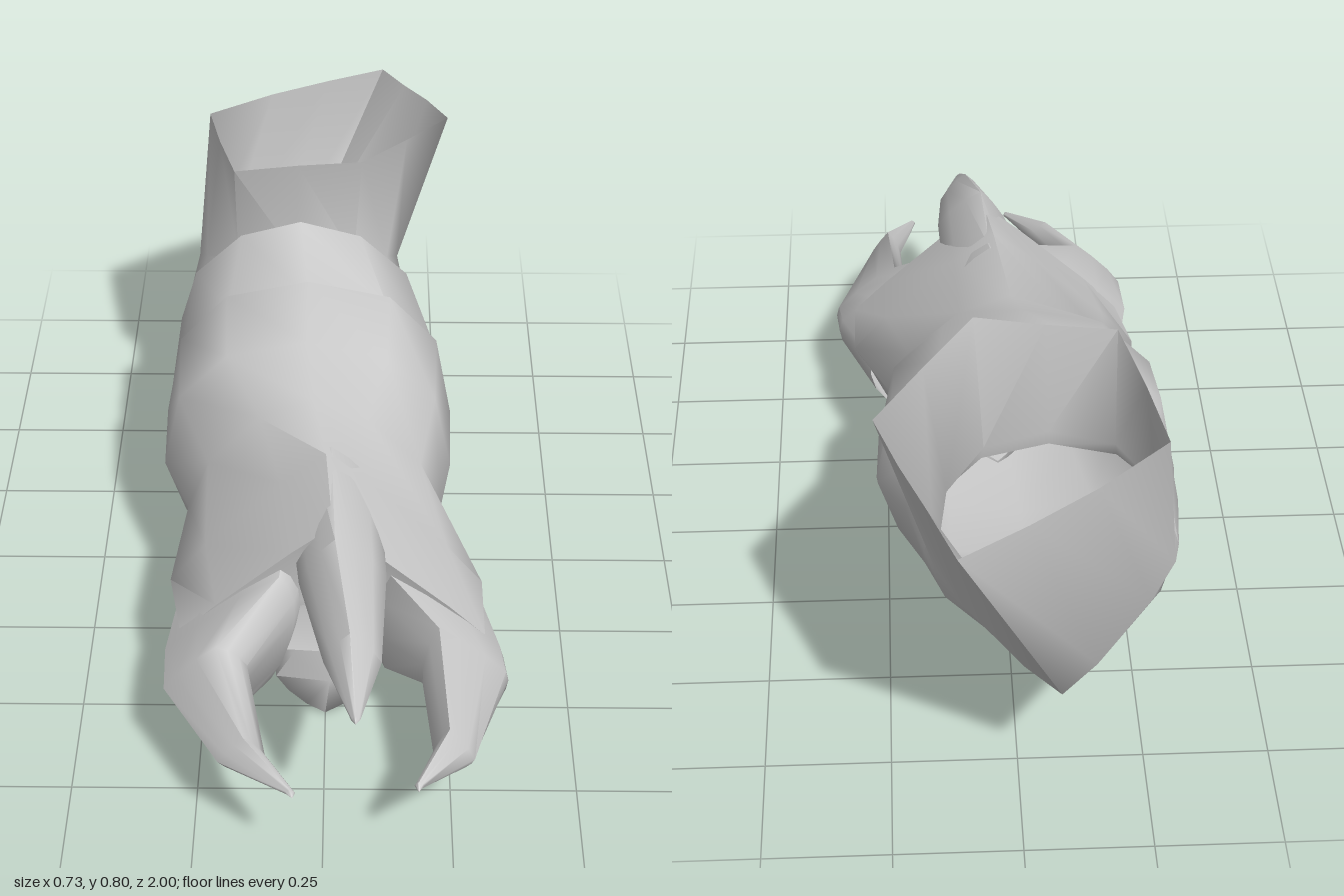
import * as THREE from 'three';
import { toCreasedNormals } from 'three/addons/utils/BufferGeometryUtils.js';

const skin = new THREE.MeshStandardMaterial({ color: 0xc8c8c8, side: THREE.DoubleSide });
skin.name = 'grey';

const SIDES = 12;
const pow = (v, e) => Math.sign(v) * Math.pow(Math.abs(v), e);

// One arm section: top and bottom points in (z, y), x limits, widest height and squareness of each half
function ring(zTop, yTop, zBottom, yBottom, xMin, xMax, mid = 0.5, nTop = 2, nBottom = 2) {
  const points = [];
  for (let i = 0; i < SIDES; i++) {
    const a = (i / SIDES) * Math.PI * 2;
    const upper = Math.cos(a) > 0;
    const e = 2 / (upper ? nTop : nBottom);
    const s = pow(Math.sin(a), e), c = pow(Math.cos(a), e);
    const t = mid + c * (upper ? 1 - mid : mid);
    points.push([
      (xMin + xMax) / 2 + (s * (xMax - xMin)) / 2,
      yBottom + (yTop - yBottom) * t,
      zBottom + (zTop - zBottom) * t,
    ]);
  }
  return points;
}

// One claw section: four (x, y) corners in the order top, +x, bottom, -x, with slightly swollen edges
function quad([z, ...corners]) {
  const points = [];
  const cx = corners.reduce((sum, p) => sum + p[0], 0) / 4;
  const cy = corners.reduce((sum, p) => sum + p[1], 0) / 4;
  corners.forEach((p, k) => {
    const q = corners[(k + 1) % 4];
    for (let i = 0; i < 3; i++) {
      const swell = i ? 1.12 : 1;
      const x = p[0] + ((q[0] - p[0]) * i) / 3, y = p[1] + ((q[1] - p[1]) * i) / 3;
      points.push([cx + (x - cx) * swell, cy + (y - cy) * swell, z]);
    }
  });
  return points;
}

// Skin over rings running from front to back, with a front cap
function loft(name, rings, capPoint) {
  const index = [];
  const positions = [...rings.flat(), capPoint];
  for (let j = 0; j < rings.length - 1; j++) {
    for (let i = 0; i < SIDES; i++) {
      const k = (i + 1) % SIDES;
      const a = j * SIDES + i, b = j * SIDES + k;
      index.push(a, b, a + SIDES, b, b + SIDES, a + SIDES);
    }
  }
  for (let i = 0; i < SIDES; i++) index.push(positions.length - 1, (i + 1) % SIDES, i);
  const geometry = new THREE.BufferGeometry();
  geometry.setAttribute('position', new THREE.Float32BufferAttribute(positions.flat(), 3));
  geometry.setIndex(index);
  const mesh = new THREE.Mesh(toCreasedNormals(geometry, 1.25), skin);
  mesh.name = name;
  return mesh;
}

const claw = (name, sections, tip) => loft(name, sections.map(quad), tip);

export function createModel() {
  const group = new THREE.Group();
  group.name = 'clawedArm';

  // Rim of the open upper end
  const rim = [
    [-0.07, 0.79, -0.38], [0.07, 0.805, -0.37], [0.17, 0.787, -0.51], [0.265, 0.77, -0.65],
    [0.22, 0.755, -0.77], [0.17, 0.737, -0.88], [0.12, 0.72, -1], [-0.01, 0.728, -0.92],
    [-0.14, 0.737, -0.83], [-0.28, 0.747, -0.71], [-0.25, 0.76, -0.55], [-0.21, 0.775, -0.38],
  ];

  // Palm, stepped wrist and bent forearm
  group.add(loft('handAndForearm', [
    ring(0.55, 0.5, 0.54, 0.18, -0.29, 0.32, 0.15, 1.05, 1.5),
    ring(0.36, 0.54, 0.38, 0.1, -0.32, 0.32, 0.3, 1.1, 2.2),
    ring(0.14, 0.52, 0.17, 0.065, -0.295, 0.24, 0.43, 1.6, 2.1),
    ring(0.0, 0.575, 0.0, 0.035, -0.355, 0.265, 0.42, 2.3, 2.1),
    ring(-0.18, 0.615, -0.18, 0.045, -0.36, 0.27, 0.41, 2.4, 2.1),
    ring(-0.19, 0.57, -0.21, 0.05, -0.357, 0.267, 0.44, 2.4, 2.1),
    ring(-0.37, 0.655, -0.45, 0.12, -0.34, 0.21, 0.48, 1.9, 2),
    ring(-0.4, 0.52, -0.66, 0.2, -0.33, 0.175, 0.5, 2.2, 1.7),
    ring(-0.4, 0.55, -0.87, 0.28, -0.31, 0.155, 0.48, 2.4, 1.15),
    rim,
  ], [0.03, 0.29, 0.5]));

  // Three forward claws, their roots sunk into the palm
  group.add(claw('middleClaw', [
    [0.94, [0.06, 0.36], [0.07, 0.35], [0.06, 0.342], [0.053, 0.35]],
    [0.8, [0.05, 0.44], [0.11, 0.37], [0.06, 0.32], [0, 0.37]],
    [0.6, [0.02, 0.508], [0.12, 0.42], [0.04, 0.285], [-0.05, 0.4]],
    [0.32, [0.01, 0.53], [0.11, 0.42], [0.03, 0.3], [-0.08, 0.42]],
  ], [0.061, 0.35, 0.953]));
  group.add(claw('rightClaw', [
    [0.985, [-0.06, 0.218], [-0.05, 0.21], [-0.058, 0.202], [-0.07, 0.21]],
    [0.88, [-0.15, 0.25], [-0.11, 0.21], [-0.15, 0.165], [-0.2, 0.19]],
    [0.68, [-0.21, 0.305], [-0.15, 0.26], [-0.18, 0.135], [-0.315, 0.2]],
    [0.56, [-0.09, 0.385], [-0.06, 0.28], [-0.11, 0.125], [-0.32, 0.2]],
    [0.3, [-0.06, 0.44], [0, 0.3], [-0.08, 0.14], [-0.28, 0.25]],
  ], [-0.055, 0.21, 1]));
  group.add(claw('leftClaw', [
    [0.96, [0.18, 0.216], [0.19, 0.207], [0.182, 0.198], [0.172, 0.207]],
    [0.85, [0.24, 0.25], [0.29, 0.175], [0.26, 0.15], [0.21, 0.19]],
    [0.61, [0.225, 0.3], [0.36, 0.19], [0.35, 0.135], [0.195, 0.16]],
    [0.54, [0.13, 0.375], [0.35, 0.2], [0.335, 0.125], [0.12, 0.14]],
    [0.3, [0.06, 0.44], [0.28, 0.25], [0.25, 0.14], [0.04, 0.16]],
  ], [0.18, 0.205, 0.975]));

  // Short hooked claw under the palm
  group.add(claw('lowerClaw', [
    [0.52, [0.02, 0.25], [0.1, 0.1], [0, 0.003], [-0.1, 0.1]],
    [0.38, [0.01, 0.24], [0.1, 0.1], [0, 0.012], [-0.11, 0.1]],
    [0.24, [0, 0.22], [0.1, 0.11], [0, 0.022], [-0.1, 0.11]],
    [0.13, [0, 0.2], [0.07, 0.14], [0, 0.075], [-0.06, 0.14]],
  ], [0.01, 0.12, 0.56]));

  return group;
}
